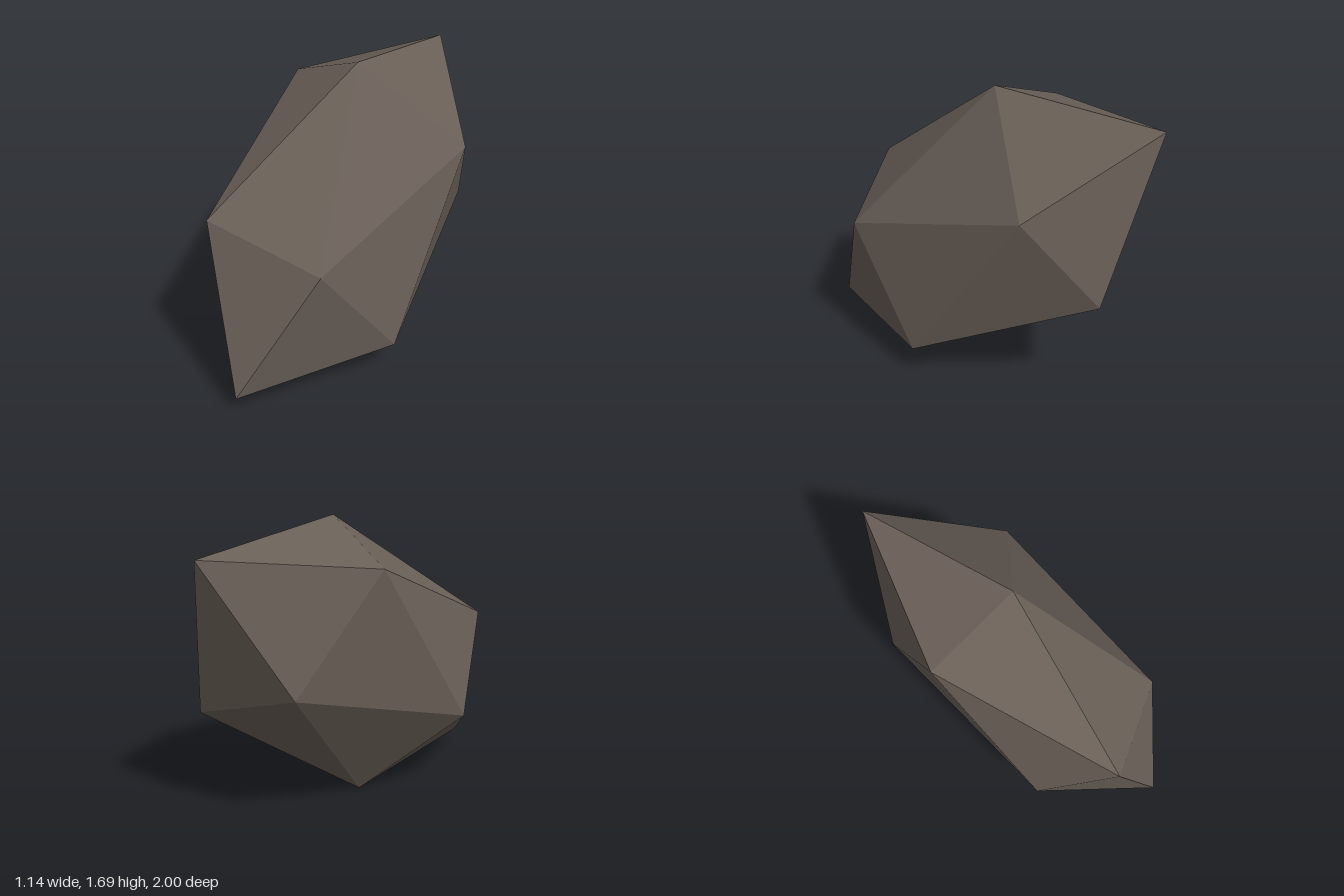
import * as THREE from 'three';
import { ConvexGeometry } from 'three/addons/geometries/ConvexGeometry.js';

export function createModel() {
  const group = new THREE.Group();
  group.name = 'rock';

  const stone = new THREE.MeshStandardMaterial({ color: 0x695f57 });
  stone.name = 'stone';

  // Stretched twenty-sided stone: six corners about its centre, each with an opposite corner
  const half = [
    [0.04, 0.845, -0.07],
    [-0.46, 0.655, -0.28],
    [-0.405, 0.18, 0.78],
    [0.57, 0.33, -0.38],
    [0.235, -0.02, 0.72],
    [0.142, 0.745, -1.0],
  ].map((p) => new THREE.Vector3(...p));
  const corners = half.flatMap((p) => [p, p.clone().negate()]);

  // The hull has one flat normal per face
  const boulder = new THREE.Mesh(new ConvexGeometry(corners), stone);
  boulder.name = 'boulder';
  boulder.position.y = 0.845;
  group.add(boulder);

  return group;
}
